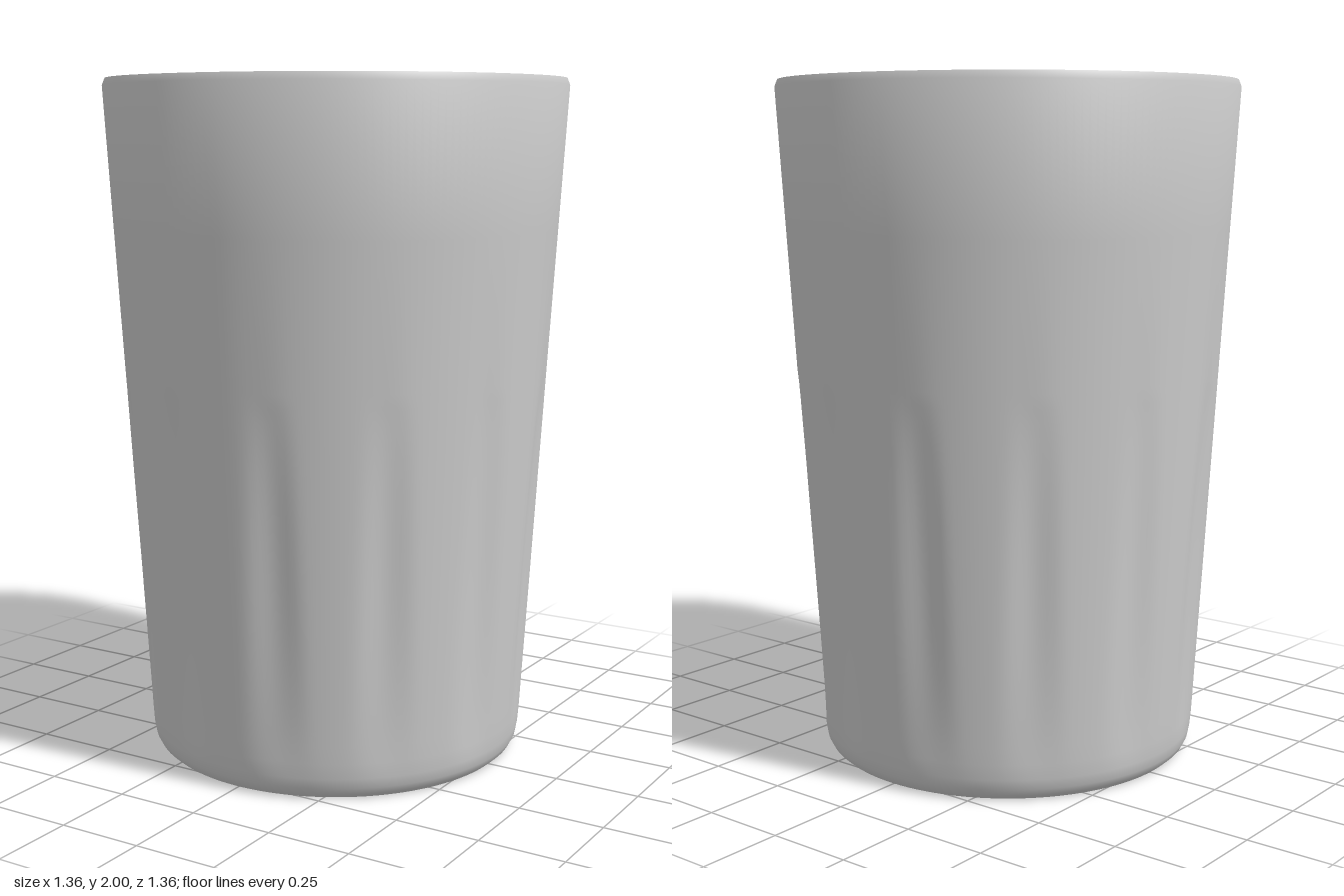
import * as THREE from 'three';
import { mergeVertices, toCreasedNormals } from 'three/addons/utils/BufferGeometryUtils.js';

const FLUTES = 12, FLUTE_BOTTOM = 0.06, FLUTE_TOP = 1.15, FLUTE_DEPTH = 0.015;

// Depth of the shallow flutes pressed into the lower outer wall
function fluteDepth(angle, y) {
  const s = (y - FLUTE_BOTTOM) / (FLUTE_TOP - FLUTE_BOTTOM);
  if (s <= 0 || s >= 1) return 0;
  const step = (2 * Math.PI) / FLUTES;
  const turn = angle / step;
  const offset = Math.abs(turn - Math.floor(turn) - 0.5) * step;
  const halfWidth = 0.19 - 0.07 * s;
  if (offset >= halfWidth) return 0;
  const across = Math.cos((offset / halfWidth) * Math.PI / 2) ** 2;
  return FLUTE_DEPTH * across * Math.sin(Math.PI * s) ** 0.7;
}

function lathe(points, segments) {
  return new THREE.LatheGeometry(points.map(([r, y]) => new THREE.Vector2(r, y)), segments);
}

export function createModel() {
  const glass = new THREE.MeshStandardMaterial({ color: 0xcccccc });
  glass.name = 'grey glass';
  const water = new THREE.MeshStandardMaterial({ color: 0x47585f });
  water.name = 'dark blue-grey liquid';
  const group = new THREE.Group();
  group.name = 'tumbler';

  // Outer profile: flat base, rounded foot, straight flaring wall
  const profile = [[0, 0], [0.53, 0], [0.546, 0.014], [0.557, 0.035], [0.563, 0.065], [0.567, 0.11]];
  for (let i = 0; i <= 24; i++) {
    const y = 0.16 + (1.16 - 0.16) * i / 24;
    profile.push([0.57 + (y - 0.16) * 0.06, y]);
  }
  // Bevelled rim, then the inner wall and floor
  profile.push([0.655, 1.57], [0.68, 1.98], [0.672, 2], [0.65, 2], [0.636, 1.985],
    [0.604, 1.5], [0.525, 0.2], [0.49, 0.13], [0, 0.12]);

  let cup = lathe(profile, 192);
  const pos = cup.attributes.position;
  for (let i = 0; i < pos.count; i++) {
    const x = pos.getX(i), y = pos.getY(i), z = pos.getZ(i);
    const r = Math.hypot(x, z);
    // Only the outer wall is fluted
    if (r < 0.54 + 0.055 * y) continue;
    const k = 1 - fluteDepth(Math.atan2(x, z), y) / r;
    pos.setXYZ(i, x * k, y, z * k);
  }
  cup.deleteAttribute('uv');
  cup.deleteAttribute('normal');
  cup = toCreasedNormals(mergeVertices(cup), 0.5);
  const cupMesh = new THREE.Mesh(cup, glass);
  cupMesh.name = 'fluted cup';
  group.add(cupMesh);

  // Liquid filling the cup to three quarters of its height
  const liquid = toCreasedNormals(
    lathe([[0, 0.13], [0.485, 0.14], [0.518, 0.2], [0.6, 1.5], [0, 1.5]], 96), 0.5);
  const liquidMesh = new THREE.Mesh(liquid, water);
  liquidMesh.name = 'liquid';
  group.add(liquidMesh);

  return group;
}
